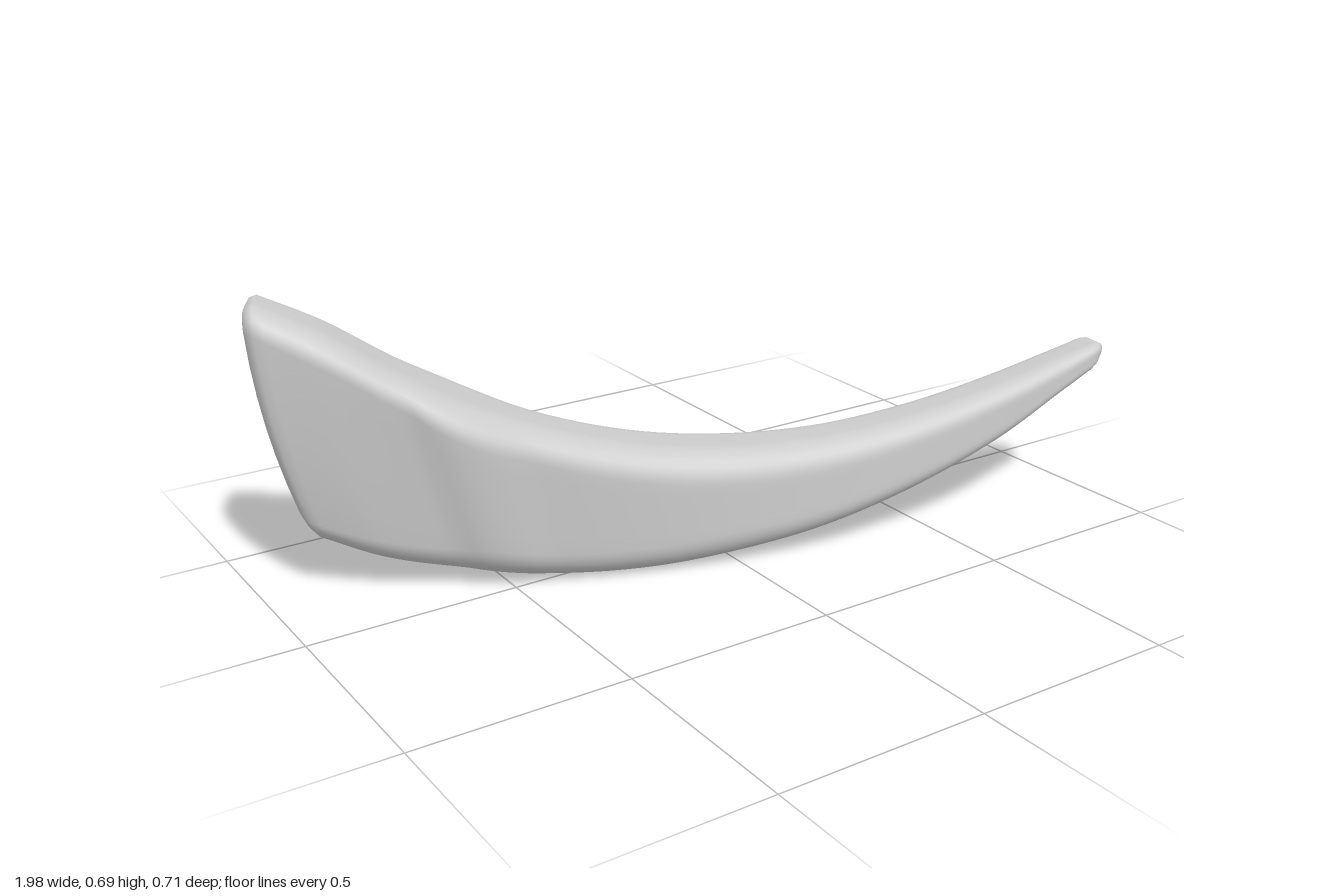
import * as THREE from 'three';

// Stations along the horn: top x, top y, bottom x, bottom y, centre z, half thickness
const STATIONS = [
  [-0.95, 0.69, -0.838, 0.128, -0.272, 0.088],
  [-0.83, 0.625, -0.71, 0.072, -0.213, 0.104],
  [-0.68, 0.522, -0.55, 0.034, -0.142, 0.112],
  [-0.45, 0.398, -0.37, 0.008, -0.05, 0.112],
  [-0.22, 0.32, -0.18, 0.003, 0.03, 0.109],
  [0.00, 0.285, 0.00, 0.02, 0.10, 0.104],
  [0.25, 0.28, 0.21, 0.056, 0.17, 0.092],
  [0.50, 0.309, 0.45, 0.122, 0.228, 0.079],
  [0.72, 0.353, 0.67, 0.205, 0.27, 0.066],
  [0.87, 0.39, 0.83, 0.285, 0.295, 0.055],
  [0.96, 0.412, 0.945, 0.343, 0.311, 0.046],
];
const STEPS = 64;
const ARC = 8; // segments per rounded corner
const FACE = 6; // segments down each broad face

const curve = (pick) => new THREE.CatmullRomCurve3(STATIONS.map((s) => new THREE.Vector3(...pick(s))));
const topCurve = curve((s) => [s[0], s[1], s[4]]);
const bottomCurve = curve((s) => [s[2], s[3], s[4]]);
const widthCurve = curve((s) => [s[5], 0, 0]);

// Rounded rectangle as [across, up] pairs, counter-clockwise from the front face
function roundedRect(w, h) {
  const r = 0.7 * Math.min(w, h);
  const points = [];
  [[1, 1], [-1, 1], [-1, -1], [1, -1]].forEach(([sx, sy], corner) => {
    for (let i = 0; i <= ARC; i++) {
      const a = (corner + i / ARC) * Math.PI / 2;
      points.push([sx * (w - r) + r * Math.cos(a), sy * (h - r) + r * Math.sin(a)]);
    }
    // Points along the broad back face, then the broad front face
    if (corner % 2 === 1) {
      for (let i = 1; i < FACE; i++) points.push([sx * w, sy * (h - r) * (1 - 2 * i / FACE)]);
    }
  });
  return points;
}

// Cross-section at t, inset from the skin and pushed along the horn
function section(t, inset = 0, push = 0) {
  const top = topCurve.getPoint(t);
  const bottom = bottomCurve.getPoint(t);
  const mid = top.clone().add(bottom).multiplyScalar(0.5);
  const up = top.clone().sub(bottom).multiplyScalar(0.5);
  const height = up.length();
  up.normalize();
  const along = topCurve.getTangent(t).add(bottomCurve.getTangent(t)).normalize();
  const out = new THREE.Vector3(-along.z, 0, along.x).normalize();
  const bow = -0.025 * Math.max(0, 1 - t * 5);
  const w = Math.max(0, widthCurve.getPoint(t).x - inset);
  const h = Math.max(0, height - inset);
  return roundedRect(w, h).map(([u, v]) => {
    const p = mid.clone().addScaledVector(out, u).addScaledVector(up, v).addScaledVector(along, push);
    p.x += bow * (1 - (v / height) ** 2);
    return p;
  });
}

// Skin a list of equal rings into one smooth surface
function loft(rings) {
  const sides = rings[0].length;
  const positions = rings.flat().flatMap((p) => [p.x, p.y, p.z]);
  const index = [];
  for (let r = 0; r < rings.length - 1; r++) {
    for (let i = 0; i < sides; i++) {
      const a = r * sides + i;
      const b = r * sides + (i + 1) % sides;
      index.push(a, a + sides, b, b, a + sides, b + sides);
    }
  }
  const geometry = new THREE.BufferGeometry();
  geometry.setAttribute('position', new THREE.Float32BufferAttribute(positions, 3));
  geometry.setIndex(index);
  geometry.computeVertexNormals();
  return geometry;
}

export function createModel() {
  const group = new THREE.Group();
  group.name = 'curvedHorn';
  const material = new THREE.MeshStandardMaterial({ color: 0xcccccc });
  const add = (name, rings) => {
    const mesh = new THREE.Mesh(loft(rings), material);
    mesh.name = name;
    group.add(mesh);
  };

  // Curved body, with bevelled wide end and rounded narrow tip
  const body = [section(0, 0.03, -0.026), section(0, 0.011, -0.016)];
  for (let i = 0; i <= STEPS; i++) body.push(section(i / STEPS));
  body.push(section(1, 0.006, 0.018), section(1, 0.018, 0.034), section(1, 0.046, 0.04));
  add('hornBody', body);

  // Nearly flat butt closing the wide end
  add('hornButt', [section(0, 0.088, -0.03), section(0, 0.03, -0.026)]);
  return group;
}
